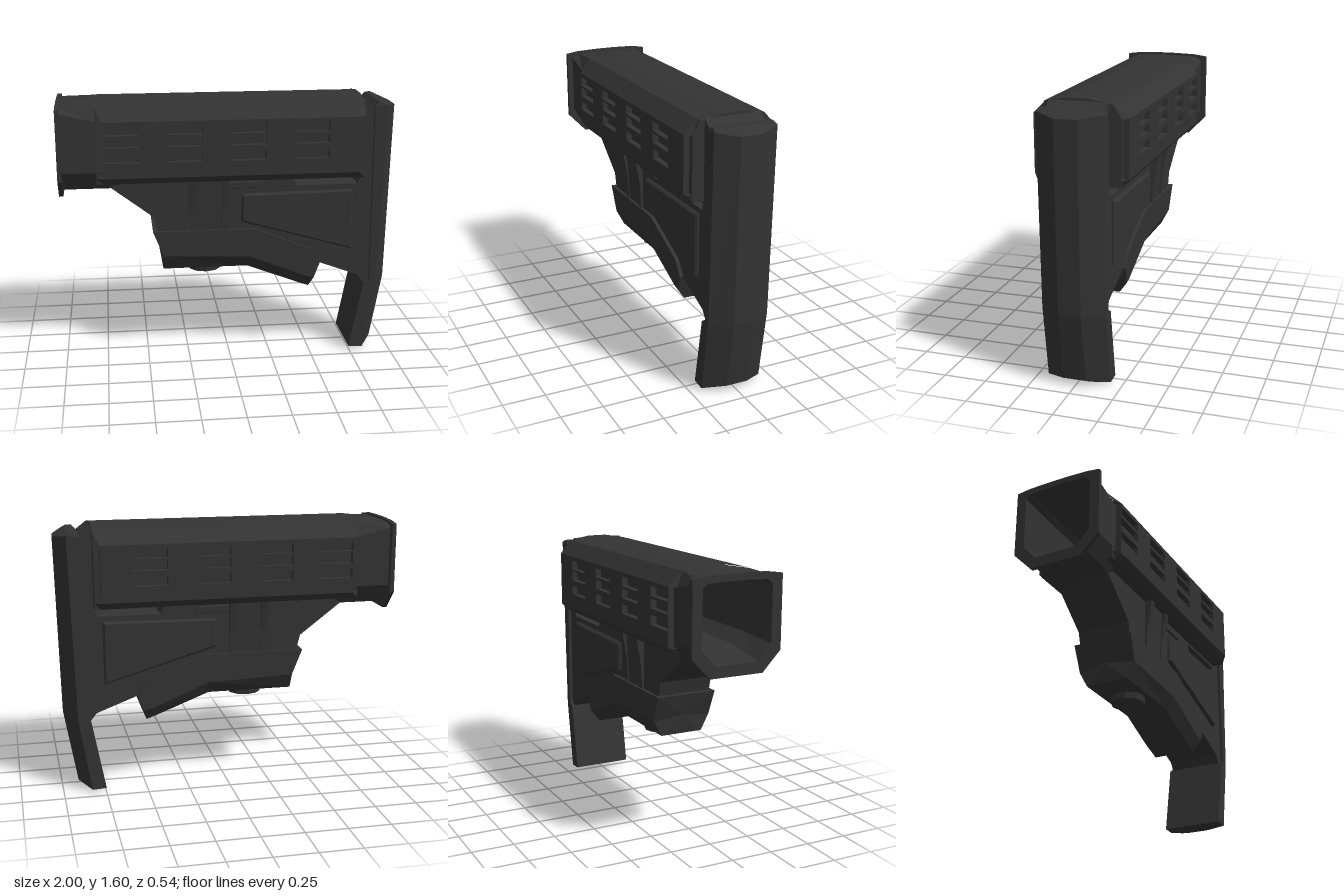
import * as THREE from 'three';

const polymer = new THREE.MeshStandardMaterial({ color: 0x333333 });
polymer.name = 'darkPolymer';

// Skins a list of equal-length rings with flat faces and optional end caps
function loft(rings, capStart = true, capEnd = true) {
  const pos = [];
  const tri = (...pts) => pts.forEach((p) => pos.push(...p));
  const centre = (r) => [0, 1, 2].map((k) => r.reduce((s, p) => s + p[k], 0) / r.length);
  const n = rings[0].length;
  for (let r = 0; r < rings.length - 1; r++) {
    const a = rings[r], b = rings[r + 1];
    for (let i = 0; i < n; i++) {
      const j = (i + 1) % n;
      tri(a[i], a[j], b[j]);
      tri(a[i], b[j], b[i]);
    }
  }
  const first = rings[0], last = rings[rings.length - 1];
  const c0 = centre(first), c1 = centre(last);
  for (let i = 0; i < n; i++) {
    const j = (i + 1) % n;
    if (capStart) tri(c0, first[j], first[i]);
    if (capEnd) tri(c1, last[i], last[j]);
  }
  const g = new THREE.BufferGeometry();
  g.setAttribute('position', new THREE.Float32BufferAttribute(pos, 3));
  g.computeVertexNormals();
  return g;
}

// Mirrors a half section of [z, y] points into a closed ring at x
const ring = (x, half) => [
  ...half.map(([z, y]) => [x, y, z]),
  ...half.slice().reverse().map(([z, y]) => [x, y, -z]),
];

// Eight-sided tube section
const tube = (x, hw, top, shoulder, side, low, bh, bot) =>
  ring(x, [[0.06, top], [Math.min(0.19, hw - 0.03), shoulder], [hw, side], [hw, low], [bh, bot]]);

const shapeOf = (pts) => new THREE.Shape(pts.map(([x, y]) => new THREE.Vector2(x, y)));
const rect = (x0, y0, x1, y1) => [[x0, y0], [x1, y0], [x1, y1], [x0, y1]];

export function createModel() {
  const group = new THREE.Group();
  const add = (name, geo) => {
    const m = new THREE.Mesh(geo, polymer);
    m.name = name;
    group.add(m);
    return m;
  };

  // Upper housing, with a shallow channel along each side for the vented plates
  const section = [[0.06, 1.6], [0.19, 1.578], [0.27, 1.5], [0.235, 1.5],
    [0.235, 1.17], [0.27, 1.17], [0.235, 1.13]];
  const narrow = section.map(([z, y]) => [Math.min(z, 0.24), y]);
  add('housing', loft([ring(-0.78, narrow), ring(-0.74, section), ring(0.755, section),
    ring(0.79, narrow)], false, true));

  // Vented side plates
  const plate = shapeOf(rect(-0.74, 1.17, 0.755, 1.5));
  for (const x of [-0.735, -0.37, 0, 0.37]) {
    for (const y of [1.26, 1.35, 1.42]) {
      plate.holes.push(new THREE.Path(rect(x, y, x + 0.2, y + 0.055)
        .map(([a, b]) => new THREE.Vector2(a, b))));
    }
  }
  for (const s of [1, -1]) {
    const g = new THREE.ExtrudeGeometry(plate, { depth: 0.037, bevelEnabled: false });
    g.translate(0, 0, s > 0 ? 0.233 : -0.27);
    add(s > 0 ? 'leftVentPlate' : 'rightVentPlate', g);
  }

  // Hollow collar and its end flange, skinned from the cavity outwards
  add('collar', loft([
    tube(-0.2, 0.2, 1.55, 1.54, 1.5, 1.22, 0.13, 1.16),
    tube(-0.72, 0.2, 1.55, 1.54, 1.5, 1.22, 0.13, 1.155),
    tube(-1, 0.21, 1.55, 1.545, 1.52, 1.2, 0.13, 1.11),
    tube(-1, 0.27, 1.587, 1.583, 1.572, 1.16, 0.16, 1.045),
    tube(-0.975, 0.27, 1.587, 1.583, 1.572, 1.16, 0.16, 1.045),
    tube(-0.975, 0.237, 1.575, 1.572, 1.545, 1.2, 0.17, 1.09),
    tube(-0.79, 0.237, 1.598, 1.576, 1.5, 1.2, 0.17, 1.09),
    tube(-0.7, 0.234, 1.59, 1.57, 1.49, 1.2, 0.17, 1.09),
    tube(-0.62, 0.22, 1.58, 1.56, 1.48, 1.2, 0.17, 1.14),
  ], true, false));

  // Lower web with the see-through slot
  const web = shapeOf([[-0.72, 1.14], [-0.7, 1.09], [-0.45, 0.9], [-0.42, 0.78], [0.15, 0.7],
    [0.55, 0.58], [0.79, 0.49], [0.83, 0.44], [0.87, 0.44], [0.87, 1.53], [0.85, 1.54],
    [0.785, 1.59], [0.785, 1.14]]);
  web.holes.push(new THREE.Path([[0.38, 1.112], [0.4, 1.07], [0.77, 1.073], [0.785, 1.112]]
    .map(([x, y]) => new THREE.Vector2(x, y))));
  const webGeo = new THREE.ExtrudeGeometry(web, { depth: 0.33, bevelEnabled: false });
  webGeo.translate(0, 0, -0.165);
  add('web', webGeo);

  // Raised cheek panels and the small bars above them, both sides
  const panel = shapeOf([[0.08, 0.87], [0.73, 0.68], [0.73, 1.03], [0.08, 1.02]]);
  const bar = shapeOf([[-0.01, 1.07], [0.2, 1.07], [0.17, 1.105], [-0.01, 1.105]]);
  for (const s of [1, -1]) {
    for (const [name, shape, t] of [['Panel', panel, 0.012], ['Bar', bar, 0.004]]) {
      const g = new THREE.ExtrudeGeometry(shape, {
        depth: 0.02, bevelThickness: t, bevelSize: t, bevelSegments: 1,
      });
      if (s < 0) g.rotateY(Math.PI).scale(-1, 1, 1);
      // restore the winding flipped by the mirror
      if (s < 0) {
        const p = g.attributes.position;
        for (let i = 0; i < p.count; i += 3) {
          const a = [p.getX(i), p.getY(i), p.getZ(i)];
          p.setXYZ(i, p.getX(i + 1), p.getY(i + 1), p.getZ(i + 1));
          p.setXYZ(i + 1, ...a);
        }
        g.computeVertexNormals();
      }
      g.translate(0, 0, s * 0.155);
      add((s > 0 ? 'left' : 'right') + name, g);
    }
  }

  // Flared uprights between housing and lever
  const upright = (x0, x1, zLow, zHigh) => loft([[0.78, zLow], [0.95, zLow + 0.008], [1.14, zHigh]]
    .map(([y, z]) => [[x1, y, z], [x1, y, -z], [x0, y, -z], [x0, y, z]]));
  add('centreUpright', upright(-0.2, -0.05, 0.168, 0.19));
  add('rearUpright', upright(-0.05, -0.01, 0.175, 0.215));
  add('frontUpright', upright(-0.24, -0.2, 0.175, 0.215));

  // Release lever wrapped around the foot of the web
  const lever = (top, mid, bot) => [[...top, 0.186], [...mid, 0.18], [...bot, 0.13],
    [...bot, -0.13], [...mid, -0.18], [...top, -0.186]];
  add('lever', loft([
    lever([-0.46, 0.815], [-0.4, 0.66], [-0.4, 0.565]),
    lever([0.15, 0.815], [0.12, 0.64], [0.11, 0.565]),
    lever([0.485, 0.675], [0.465, 0.5], [0.44, 0.437]),
    lever([0.55, 0.59], [0.515, 0.49], [0.49, 0.42]),
  ]));

  // Round nut under the lever
  const nut = new THREE.CylinderGeometry(0.108, 0.1, 0.06, 10).toNonIndexed();
  nut.computeVertexNormals();
  nut.translate(-0.14, 0.555, 0);
  add('nut', nut);

  // Butt pad with chamfered back and a forward-kicked toe
  const pad = (xb, yb, xm, ym, xf, yf, w = 0.185) => [[xf, yf, 0.065], [xf, yf, -0.065],
    [xm, ym, -w], [xb, yb, -w], [xb, yb, w], [xm, ym, w]];
  add('buttPad', loft([
    pad(0.8, 0, 0.82, 0, 0.83, 0, 0.1),
    pad(0.747, 0.02, 0.83, 0.015, 0.905, 0.04),
    pad(0.825, 0.44, 0.9, 0.44, 0.975, 0.44),
    pad(0.86, 0.46, 0.902, 0.46, 0.976, 0.46),
    pad(0.855, 1.54, 0.935, 1.55, 1, 1.53),
    pad(0.88, 1.565, 0.91, 1.565, 0.925, 1.565, 0.175),
  ]));

  return group;
}
